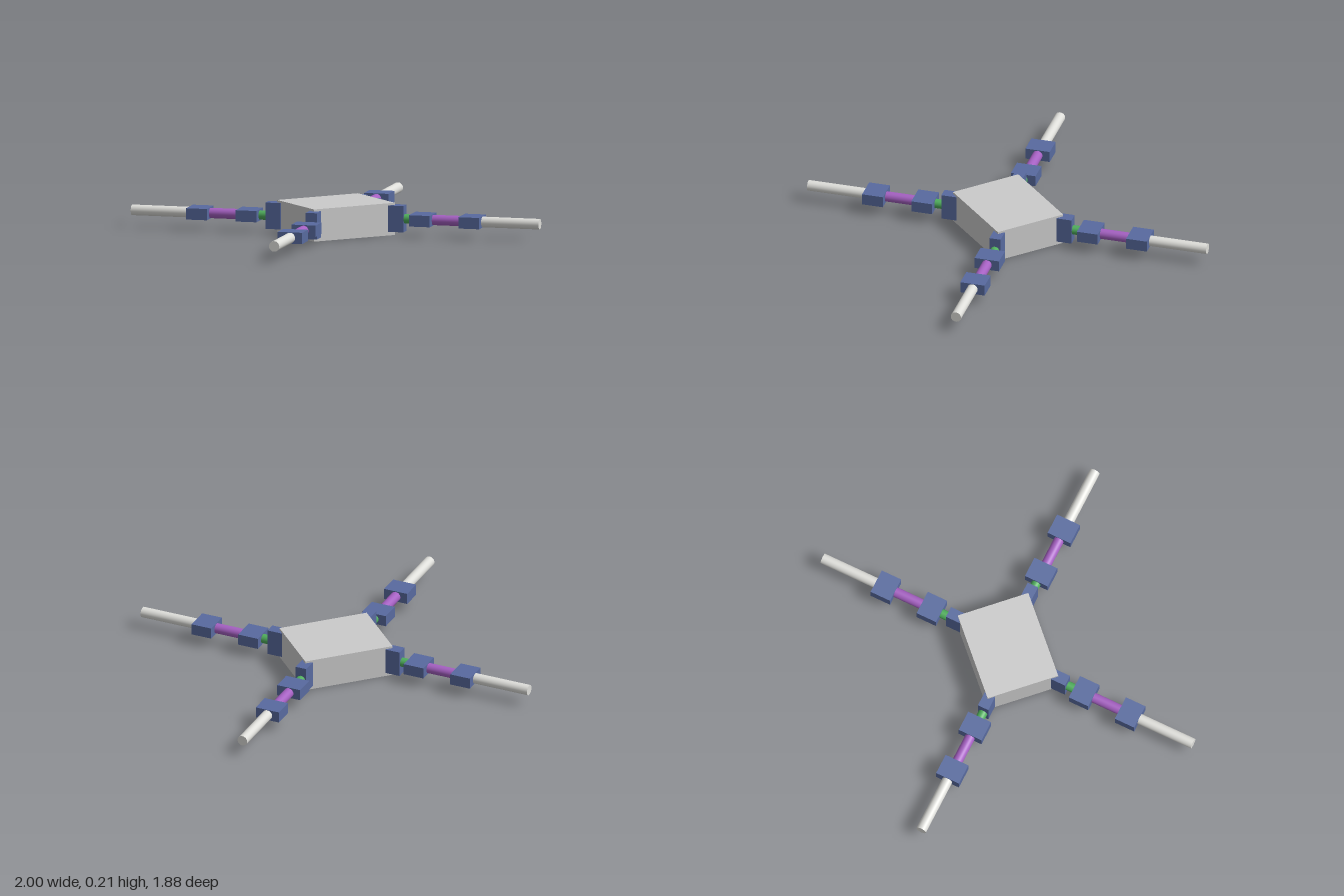
import * as THREE from 'three';

const mat = (name, color) => {
  const m = new THREE.MeshStandardMaterial({ color });
  m.name = name;
  return m;
};

const MID = 0.107; // height of the leg axes

export function createModel() {
  const bodyGrey = mat('bodyGrey', 0xcbcbcb);
  const footGrey = mat('footGrey', 0xdededa);
  const blue = mat('jointBlue', 0x586a9f);
  const purple = mat('upperLegPurple', 0xa560c2);
  const green = mat('hipGreen', 0x4fae5c);

  const model = new THREE.Group();
  model.name = 'fourLeggedRobot';

  const add = (parent, name, geometry, material, x, y, z) => {
    const mesh = new THREE.Mesh(geometry, material);
    mesh.name = name;
    mesh.position.set(x, y, z);
    parent.add(mesh);
    return mesh;
  };

  // Plain box body
  add(model, 'body', new THREE.BoxGeometry(0.594, 0.208, 0.476), bodyGrey, 0, 0.104, 0);

  // Rod lying along the leg's local x axis
  const rod = (leg, name, r, from, to, material) => {
    const g = new THREE.CylinderGeometry(r, r, to - from, 32).rotateZ(Math.PI / 2);
    add(leg, name, g, material, (from + to) / 2, 0, 0);
  };

  // One leg at each corner, pointing outwards at 45 degrees
  for (const sx of [1, -1]) {
    for (const sz of [1, -1]) {
      const leg = new THREE.Group();
      leg.name = (sz > 0 ? 'front' : 'back') + (sx > 0 ? 'Left' : 'Right') + 'Leg';
      leg.position.set(sx * 0.297, MID, sz * 0.238);
      leg.rotation.y = Math.atan2(-sz, sx);

      add(leg, 'hipBracket', new THREE.BoxGeometry(0.1, 0.17, 0.074), blue, 0.016, 0.002, 0);
      rod(leg, 'hipRod', 0.03, 0.06, 0.13, green);
      add(leg, 'shoulderJoint', new THREE.BoxGeometry(0.138, 0.073, 0.162), blue, 0.184, 0, 0);
      rod(leg, 'upperLeg', 0.033, 0.25, 0.45, purple);
      add(leg, 'kneeJoint', new THREE.BoxGeometry(0.138, 0.073, 0.162), blue, 0.511, 0, 0);
      rod(leg, 'lowerLeg', 0.034, 0.575, 0.96, footGrey);
      model.add(leg);
    }
  }
  return model;
}
